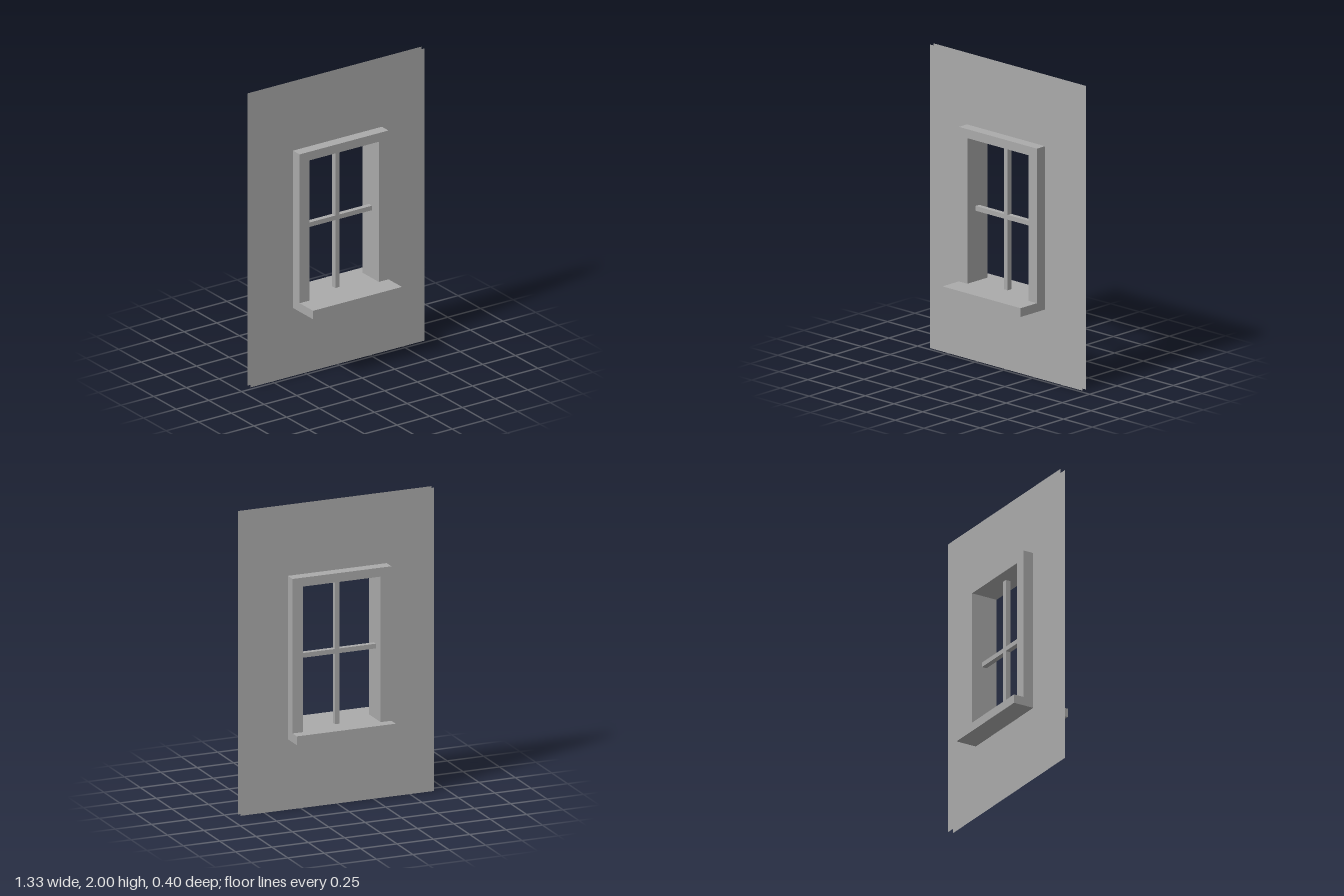
import * as THREE from 'three';

// Key planes, front to back
const Z = { sillFront: 0.2, frameFront: 0.051, wallFront: -0.023, wallBack: -0.057, frameBack: -0.131, sillBack: -0.2 };
const WALL = { x0: -0.665, x1: 0.665, y0: 0, y1: 2 };
const FRAME = { x0: -0.341, x1: 0.339, y0: 0.466, y1: 1.542 };
const OPEN = { x0: -0.267, x1: 0.265, y0: 0.524, y1: 1.483 };
const BAR = { x0: -0.017, x1: 0.014, y0: 0.989, y1: 1.02 };

const corners = (r) => [[r.x0, r.y0], [r.x1, r.y0], [r.x1, r.y1], [r.x0, r.y1]]
  .map(([x, y]) => new THREE.Vector2(x, y));

export function createModel() {
  const group = new THREE.Group();
  const plaster = new THREE.MeshStandardMaterial({ color: 0xaaaaaa, side: THREE.DoubleSide });
  plaster.name = 'plainGrey';

  const add = (name, geometry) => {
    const mesh = new THREE.Mesh(geometry, plaster);
    mesh.name = name;
    group.add(mesh);
    return mesh;
  };

  // The four panes left by the glazing bars
  const panes = [];
  for (const [x0, x1] of [[OPEN.x0, BAR.x0], [BAR.x1, OPEN.x1]])
    for (const [y0, y1] of [[OPEN.y0, BAR.y0], [BAR.y1, OPEN.y1]])
      panes.push({ x0, x1, y0, y1 });

  // Wall sheet with one opening, and the faces of the glazing bars inside it
  const wall = new THREE.Shape(corners(WALL));
  wall.holes.push(new THREE.Path(corners(OPEN)));
  const cross = new THREE.Shape([
    [BAR.x0, OPEN.y0], [BAR.x1, OPEN.y0], [BAR.x1, BAR.y0], [OPEN.x1, BAR.y0],
    [OPEN.x1, BAR.y1], [BAR.x1, BAR.y1], [BAR.x1, OPEN.y1], [BAR.x0, OPEN.y1],
    [BAR.x0, BAR.y1], [OPEN.x0, BAR.y1], [OPEN.x0, BAR.y0], [BAR.x0, BAR.y0],
  ].map(([x, y]) => new THREE.Vector2(x, y)));

  // Jambs and head as one arch standing on the sill
  const arch = new THREE.Shape([
    [FRAME.x0, OPEN.y0], [OPEN.x0, OPEN.y0], [OPEN.x0, OPEN.y1], [OPEN.x1, OPEN.y1],
    [OPEN.x1, OPEN.y0], [FRAME.x1, OPEN.y0], [FRAME.x1, FRAME.y1], [FRAME.x0, FRAME.y1],
  ].map(([x, y]) => new THREE.Vector2(x, y)));

  const sides = [
    ['front', Z.wallFront, Z.wallFront, Z.frameFront, Z.wallFront, Z.sillFront],
    ['back', Z.wallBack, Z.frameBack, Z.wallBack, Z.sillBack, Z.wallBack],
  ];
  for (const [side, zWall, f0, f1, s0, s1] of sides) {
    for (const [part, shape] of [['Wall', wall], ['GlazingBars', cross]]) {
      const geometry = new THREE.ShapeGeometry(shape);
      if (side === 'back') {
        // Turn the rear sheet to face -z
        const index = geometry.index.array;
        for (let i = 0; i < index.length; i += 3) [index[i], index[i + 1]] = [index[i + 1], index[i]];
        geometry.computeVertexNormals();
      }
      add(side + part, geometry).position.z = zWall;
    }
    add(side + 'Frame', new THREE.ExtrudeGeometry(arch, { depth: f1 - f0, bevelEnabled: false })).position.z = f0;
    const sill = add(side + 'Sill', new THREE.BoxGeometry(FRAME.x1 - FRAME.x0, OPEN.y0 - FRAME.y0, s1 - s0));
    sill.position.set((FRAME.x0 + FRAME.x1) / 2, (FRAME.y0 + OPEN.y0) / 2, (s0 + s1) / 2);
  }

  // Open lining around each pane: reveal and glazing bar edges
  for (const pane of panes) {
    const loop = corners(pane);
    const positions = [];
    loop.forEach((a, i) => {
      const b = loop[(i + 1) % 4];
      const [p, q, r, s] = [[a, Z.wallBack], [a, Z.wallFront], [b, Z.wallFront], [b, Z.wallBack]];
      for (const [v, z] of [p, q, r, p, r, s]) positions.push(v.x, v.y, z);
    });
    const geometry = new THREE.BufferGeometry();
    geometry.setAttribute('position', new THREE.Float32BufferAttribute(positions, 3));
    geometry.computeVertexNormals();
    add('paneLining', geometry);
  }

  return group;
}
